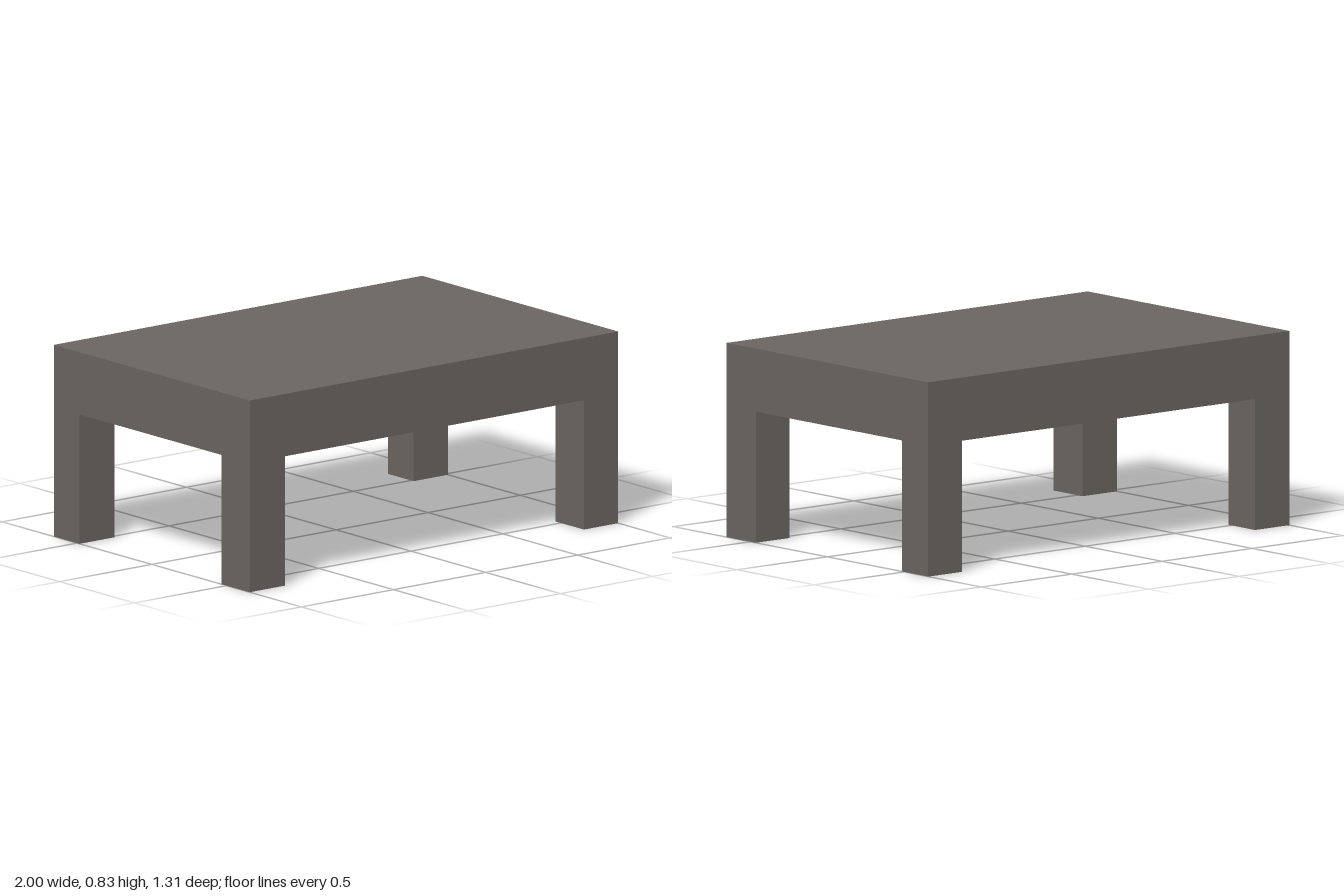
import * as THREE from 'three';

export function createModel() {
  const model = new THREE.Group();
  model.name = 'lowTable';
  const darkWood = new THREE.MeshStandardMaterial({ color: 0x6b6560 });
  darkWood.name = 'darkWood';

  const halfX = 1, halfZ = 0.655, underside = 0.56, top = 0.83;

  // Box sized w x h x d, centred on x, y, z
  const addBox = (name, w, h, d, x, y, z) => {
    const mesh = new THREE.Mesh(new THREE.BoxGeometry(w, h, d), darkWood);
    mesh.name = name;
    mesh.position.set(x, y, z);
    model.add(mesh);
  };

  // Thick slab top
  addBox('tableTop', halfX * 2, top - underside, halfZ * 2, 0, (top + underside) / 2, 0);

  // Corner legs, flush with the slab; the front pair is slightly deeper
  for (const [side, sx, w] of [['Left', 1, 0.186], ['Right', -1, 0.19]]) {
    for (const [end, sz, d] of [['front', 1, 0.19], ['back', -1, 0.172]]) {
      addBox(end + side + 'Leg', w, underside, d,
        sx * (halfX - w / 2), underside / 2, sz * (halfZ - d / 2));
    }
  }

  return model;
}
